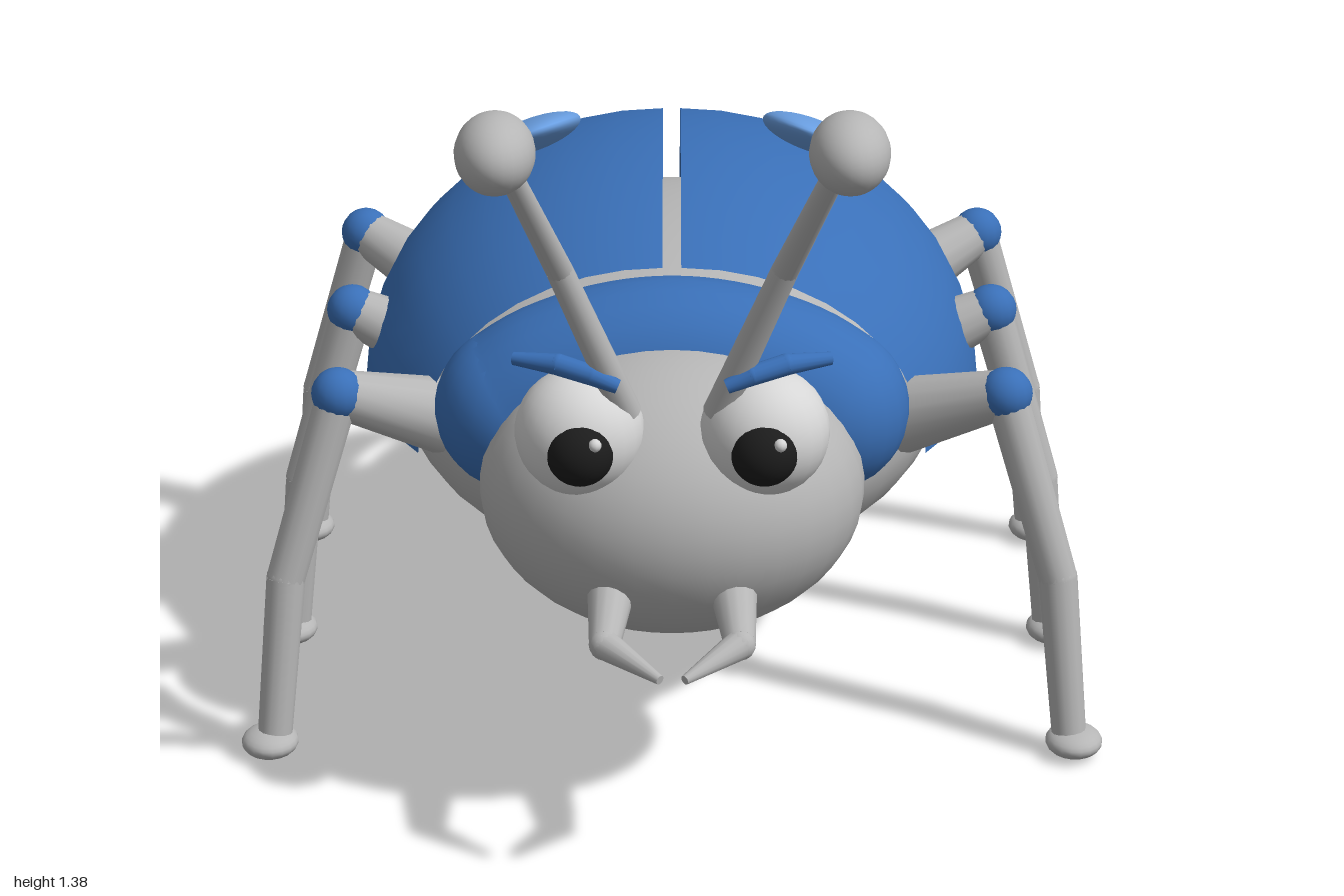
import * as THREE from 'three';

const mat = (name, color, side = THREE.FrontSide) => {
  const m = new THREE.MeshStandardMaterial({ color, side });
  m.name = name;
  return m;
};

export function createModel() {
  const blue = mat('shell blue', 0x3a70b8, THREE.DoubleSide);
  const paleBlue = mat('spot blue', 0x6a9fe2);
  const grey = mat('body grey', 0xb6b6b6);
  const eyeWhite = mat('eye white', 0xd6d6d6);
  const black = mat('pupil black', 0x1c1c1c);

  const model = new THREE.Group();
  model.name = 'beetle';

  const add = (parent, name, geometry, material) => {
    const mesh = new THREE.Mesh(geometry, material);
    mesh.name = name;
    parent.add(mesh);
    return mesh;
  };

  const ellipsoid = (parent, name, material, pos, radii, segs = 24) => {
    const mesh = add(parent, name, new THREE.SphereGeometry(1, segs, Math.ceil(segs * 0.7)), material);
    mesh.position.set(...pos);
    mesh.scale.set(...radii);
    return mesh;
  };

  // Jointed limb: tapered cylinders between points, rounded where they bend
  const limb = (parent, name, material, points, radii) => {
    const group = new THREE.Group();
    group.name = name;
    parent.add(group);
    const p = points.map((a) => new THREE.Vector3(...a));
    for (let i = 0; i + 1 < p.length; i++) {
      const dir = p[i + 1].clone().sub(p[i]);
      const seg = add(group, name + 'Segment',
        new THREE.CylinderGeometry(radii[i + 1], radii[i], dir.length(), 14), material);
      seg.position.copy(p[i]).addScaledVector(dir, 0.5);
      seg.quaternion.setFromUnitVectors(new THREE.Vector3(0, 1, 0), dir.normalize());
      if (i > 0) ellipsoid(group, name + 'Joint', material, points[i], Array(3).fill(radii[i]), 14);
    }
    return group;
  };

  // Belly and head
  ellipsoid(model, 'belly', grey, [0, 0.53, -0.22], [0.49, 0.295, 0.62], 36);
  ellipsoid(model, 'head', grey, [0, 0.56, 0.4], [0.325, 0.243, 0.29], 32);

  // Collar: arched, round-ended roll behind the head
  const collar = new THREE.Group();
  collar.name = 'collar';
  model.add(collar);
  const arch = new THREE.CatmullRomCurve3(
    [[-0.262, 0.65], [-0.2, 0.69], [-0.1, 0.725], [0, 0.737], [0.1, 0.725], [0.2, 0.69], [0.262, 0.65]]
      .map(([x, y]) => new THREE.Vector3(x, y, 0.275)));
  add(collar, 'collarRoll', new THREE.TubeGeometry(arch, 28, 0.143, 24), blue);
  for (const s of [-1, 1]) ellipsoid(collar, 'collarEnd', blue, [s * 0.262, 0.65, 0.275], [0.143, 0.143, 0.143]);

  for (const s of [-1, 1]) {
    const side = new THREE.Group();
    side.name = s > 0 ? 'leftSide' : 'rightSide';
    model.add(side);

    // Wing case: a quarter dome, cut off at the collar
    const dome = new THREE.SphereGeometry(1, 10, 18, s > 0 ? Math.PI / 2 : 0, Math.PI / 2, 0, 2.23);
    dome.rotateX(-Math.PI / 2);
    const wing = add(side, 'wingCase', dome, blue);
    wing.scale.set(0.54, 0.435, 0.7);
    wing.position.set(s * 0.016, 0.505, -0.3);

    // Spot on the wing case
    const spot = ellipsoid(side, 'spot', paleBlue, [s * 0.252, 0.922, -0.375], [0.092, 0.03, 0.184]);
    spot.rotation.set(-0.33, 0, -s * 0.35);

    // Eye
    ellipsoid(side, 'eye', eyeWhite, [s * 0.152, 0.73, 0.58], [0.107, 0.107, 0.105]);
    ellipsoid(side, 'pupil', black, [s * 0.15, 0.722, 0.655], [0.056, 0.056, 0.053]);
    ellipsoid(side, 'eyeGlint', eyeWhite, [s * 0.15 + 0.025, 0.75, 0.694], [0.011, 0.011, 0.011], 10);

    // Eyebrow
    limb(side, 'eyebrow', blue,
      [[s * 0.088, 0.835, 0.65], [s * 0.13, 0.853, 0.645], [s * 0.185, 0.866, 0.63], [s * 0.258, 0.867, 0.605]],
      [0.012, 0.017, 0.018, 0.011]);

    // Antenna
    limb(side, 'antenna', grey,
      [[s * 0.075, 0.77, 0.6], [s * 0.18, 1.05, 0.69], [s * 0.262, 1.3, 0.875]],
      [0.026, 0.022, 0.018]);
    ellipsoid(side, 'antennaTip', grey, [s * 0.272, 1.322, 0.91], [0.063, 0.063, 0.09]);

    // Mandible
    limb(side, 'mandible', grey,
      [[s * 0.1, 0.46, 0.58], [s * 0.11, 0.432, 0.77], [s * 0.02, 0.408, 0.855]],
      [0.042, 0.026, 0.008]);

    // Legs: base z, knee z, foot z
    for (const [name, zBase, zKnee, zFoot] of [
      ['frontLeg', 0.1, 0.2, 0.285], ['middleLeg', -0.2, -0.21, -0.195], ['backLeg', -0.535, -0.625, -0.67]]) {
      const leg = new THREE.Group();
      leg.name = name;
      side.add(leg);
      const knee = [s * 0.575, 0.645, zKnee];
      limb(leg, 'thigh', grey, [[s * 0.4, 0.565, zBase], knee], [0.068, 0.042]);
      ellipsoid(leg, 'knee', blue, knee, [0.046, 0.046, 0.046], 16);
      limb(leg, 'shin', grey,
        [knee, [s * 0.67, 0.32, zKnee + (zFoot - zKnee) * 0.55], [s * 0.695, 0.03, zFoot]],
        [0.037, 0.034, 0.03]);
      ellipsoid(leg, 'foot', grey, [s * 0.703, 0.026, zFoot], [0.05, 0.026, 0.058], 18);
    }
  }
  return model;
}
